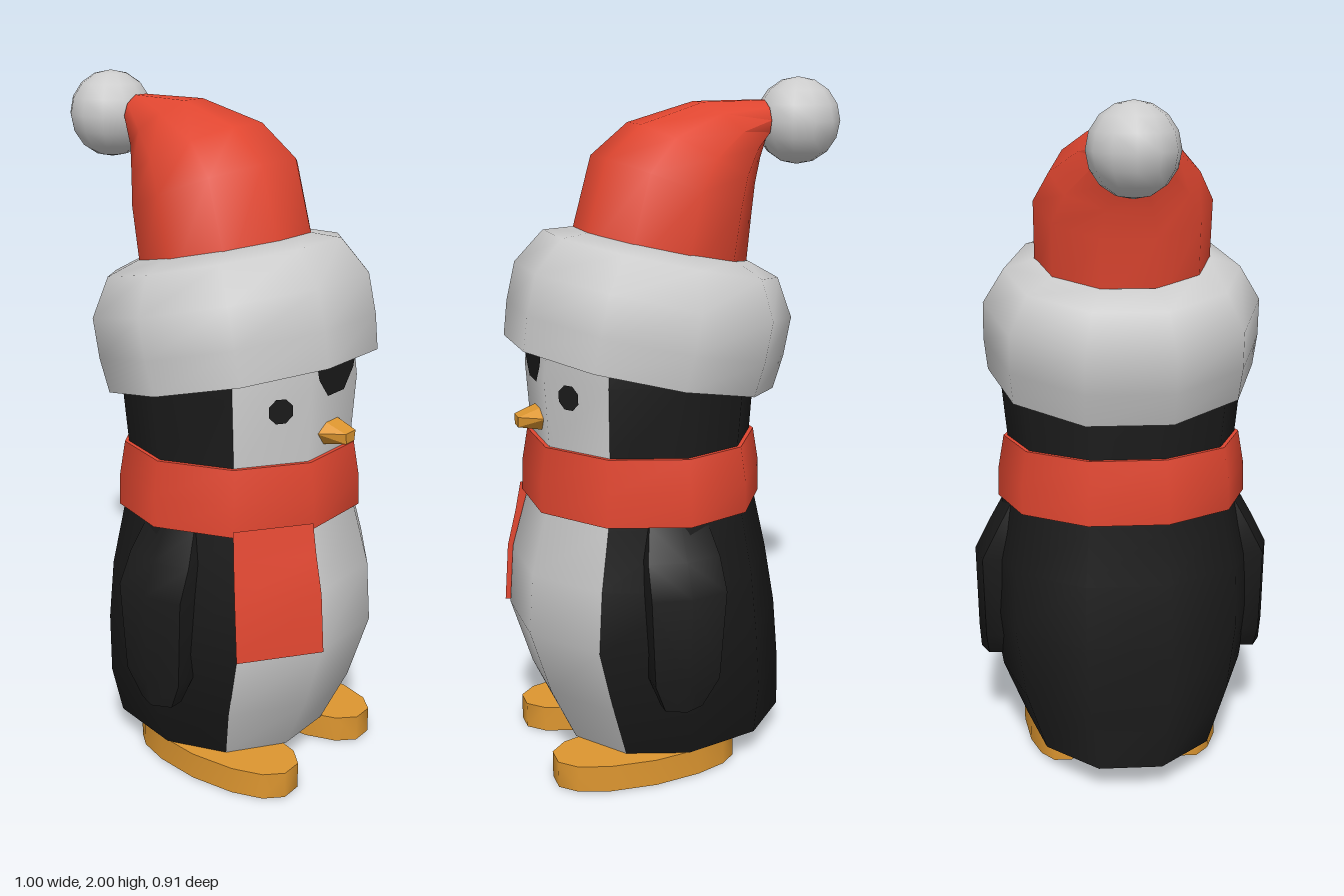
import * as THREE from 'three';
import { toCreasedNormals } from 'three/addons/utils/BufferGeometryUtils.js';
import { ConvexGeometry } from 'three/addons/geometries/ConvexGeometry.js';

const V = (x, y, z) => new THREE.Vector3(x, y, z);
const RAD = Math.PI / 180;
const material = (color) => new THREE.MeshStandardMaterial({ color });
const black = material(0x1a1a1a), white = material(0xcccccc);
const red = material(0xe04630), orange = material(0xdd9630);

// Skin a list of cross-section loops; loops run from +x towards +z
function loft(rings, { closed = true, bottom = false, top = false } = {}) {
  const n = rings[0].length, index = [], points = rings.flat();
  const spans = closed ? n : n - 1;
  for (let i = 0; i < rings.length - 1; i++) {
    for (let j = 0; j < spans; j++) {
      const a = i * n + j, b = i * n + ((j + 1) % n);
      index.push(a, a + n, b, b, a + n, b + n);
    }
  }
  const cap = (ring, start, flip) => {
    const c = points.length;
    points.push(ring.reduce((s, p) => s.add(p), V(0, 0, 0)).divideScalar(n));
    for (let j = 0; j < n; j++) {
      const a = start + j, b = start + ((j + 1) % n);
      index.push(c, flip ? b : a, flip ? a : b);
    }
  };
  if (bottom) cap(rings[0], 0, false);
  if (top) cap(rings.at(-1), (rings.length - 1) * n, true);
  const geometry = new THREE.BufferGeometry().setFromPoints(points);
  geometry.setIndex(index);
  return toCreasedNormals(geometry, 0.9);
}

// Body sections: height, centre x, radius, stretch of the back half
const SECTIONS = [
  [0.08, 0.06, 0.303, 1.28], [0.25, 0.07, 0.375, 1.03], [0.45, 0.098, 0.41, 0.96],
  [0.63, 0.09, 0.405, 0.87], [0.8, 0.083, 0.365, 0.845], [1.0, 0.083, 0.346, 0.845],
  [1.2, 0.077, 0.365, 0.82], [1.42, 0.075, 0.34, 0.82],
];
const HEIGHTS = SECTIONS.map((s) => s[0]);

// Point on the body surface at a height and angle, pushed out by add
function bodyPoint(y, deg, add = 0) {
  let i = 0;
  while (i < SECTIONS.length - 2 && y > SECTIONS[i + 1][0]) i++;
  const [p, q] = [SECTIONS[i], SECTIONS[i + 1]];
  const t = (y - p[0]) / (q[0] - p[0]);
  const [, cx, r, k] = p.map((v, m) => v + (q[m] - v) * t);
  const c = Math.cos(deg * RAD);
  return V(cx + c * (r * (c < -0.01 ? k : 1) + add), y, (r + add) * Math.sin(deg * RAD));
}
const angles = (from, count) => Array.from({ length: count }, (_, i) => from + i * 36);
const AROUND = angles(-54, 10);

export function createModel() {
  const model = new THREE.Group();
  const add = (name, geometry, mat, parent = model) => {
    const mesh = new THREE.Mesh(geometry, mat);
    mesh.name = name;
    parent.add(mesh);
    return mesh;
  };

  // Body: white front, black back, closed base
  const strip = (list) => HEIGHTS.map((y) => list.map((a) => bodyPoint(y, a)));
  add('belly', loft(strip(angles(-54, 4)), { closed: false }), white);
  add('back', loft(strip(angles(54, 8)), { closed: false }), black);
  add('bodyBase', loft([AROUND.map((a) => bodyPoint(0.08, a))], { bottom: true }), black);

  // Forehead patch
  const patch = new THREE.Shape([
    [-0.04, 1.175], [0.04, 1.175], [0.085, 1.23], [0.105, 1.3], [-0.105, 1.3], [-0.085, 1.23],
  ].map(([x, y]) => new THREE.Vector2(x, y)));
  const forehead = add('foreheadPatch', new THREE.ShapeGeometry(patch), black);
  forehead.rotation.y = Math.PI / 2;
  forehead.position.x = bodyPoint(1.2, 18).x + 0.004;

  // Beak
  add('beak', new ConvexGeometry([1, -1].flatMap((s) => [
    V(0.4, 1.1, 0.03 * s), V(0.41, 1.07, 0.07 * s), V(0.41, 1.03, 0.035 * s),
    V(0.48, 1.07, 0.025 * s), V(0.48, 1.04, 0.02 * s),
  ])), orange);

  // Paired parts: eye, wing and foot, built on +z and mirrored
  for (const s of [1, -1]) {
    const side = new THREE.Group();
    side.name = s > 0 ? 'rightSide' : 'leftSide';
    side.scale.z = s;
    model.add(side);

    const eye = add('eye', new THREE.CircleGeometry(0.037, 8, Math.PI / 8), black, side);
    eye.position.lerpVectors(bodyPoint(1.157, 18), bodyPoint(1.157, 54), 0.4);
    eye.position.add(V(0.006, 0, 0.0045));
    eye.rotation.y = 54 * RAD;

    // height, centre x, half width, inner z, outer z
    const wing = [
      [0.29, 0.12, 0.055, 0.375, 0.445], [0.37, 0.11, 0.095, 0.36, 0.45],
      [0.63, 0.107, 0.11, 0.35, 0.455], [0.72, 0.107, 0.105, 0.33, 0.41],
      [0.81, 0.107, 0.085, 0.3, 0.36],
    ].map(([y, x, h, zi, zo]) => [
      V(x + h, y, zi), V(x + h, y, zo - 0.025), V(x, y, zo), V(x - h, y, zo - 0.025), V(x - h, y, zi),
    ]);
    add('wing', loft(wing, { bottom: true, top: true }), black, side);

    const foot = [0, 0.08].map((y) => Array.from({ length: 14 }, (_, i) => {
      const a = (i + 0.5) / 14 * Math.PI * 2, c = Math.cos(a), d = Math.sin(a);
      const round = (v) => Math.sign(v) * Math.abs(v) ** 0.85;
      return V(0.165 + 0.28 * round(c), y, 0.195 + 0.118 * round(d) * (c < 0 ? 1 + 0.2 * c : 1));
    }));
    add('foot', loft(foot, { bottom: true, top: true }), orange, side);
  }

  // Scarf band and hanging end
  const band = [[0.81, -0.03], [0.81, 0.014], [0.9, 0.02], [1.0, 0.012], [1.0, -0.03]];
  add('scarf', loft(band.map(([y, o]) => AROUND.map((a) => bodyPoint(y, a, o)))), red);
  const tail = [[0.455, 0.016], [0.63, 0.016], [0.74, 0.02], [0.83, 0.022]].map(([y, o]) => [
    bodyPoint(y, 19, o), bodyPoint(y, 54, o), bodyPoint(y, 54, -0.02), bodyPoint(y, 19, -0.02),
  ]);
  add('scarfEnd', loft(tail, { bottom: true }), red);

  // Tilted fur brim of the hat
  const brim = [[0.31, 0.08], [0.34, 0.01], [0.4, 0], [0.41, 0.1], [0.408, 0.215], [0.345, 0.32], [0.25, 0.35], [0.2, 0.34]];
  const brimMesh = add('hatBrim', loft(brim.map(([r, y]) =>
    AROUND.map((a) => V(r * Math.cos(a * RAD), y, r * Math.sin(a * RAD))))), white);
  brimMesh.position.set(0.11, 1.2, 0);
  brimMesh.rotation.z = 12.3 * RAD;

  // Drooping hat cone: back end x, y, front end x, y, half depth
  const cone = [
    [-0.185, 1.43, 0.3, 1.52, 0.255], [-0.205, 1.63, 0.225, 1.79, 0.257],
    [-0.22, 1.71, 0.12, 1.88, 0.212], [-0.245, 1.78, -0.07, 1.937, 0.135],
    [-0.27, 1.83, -0.265, 1.94, 0.07],
  ].map(([x0, y0, x1, y1, h]) => AROUND.map((a) => {
    const c = Math.cos(a * RAD) / Math.cos(18 * RAD) / 2;
    return V((x0 + x1) / 2 + (x1 - x0) * c, (y0 + y1) / 2 + (y1 - y0) * c, h * Math.sin(a * RAD));
  }));
  add('hatCone', loft(cone, { top: true }), red);

  // Pompom
  add('pompom', new THREE.SphereGeometry(0.124, 12, 8), white).position.set(-0.378, 1.88, 0);

  return model;
}
